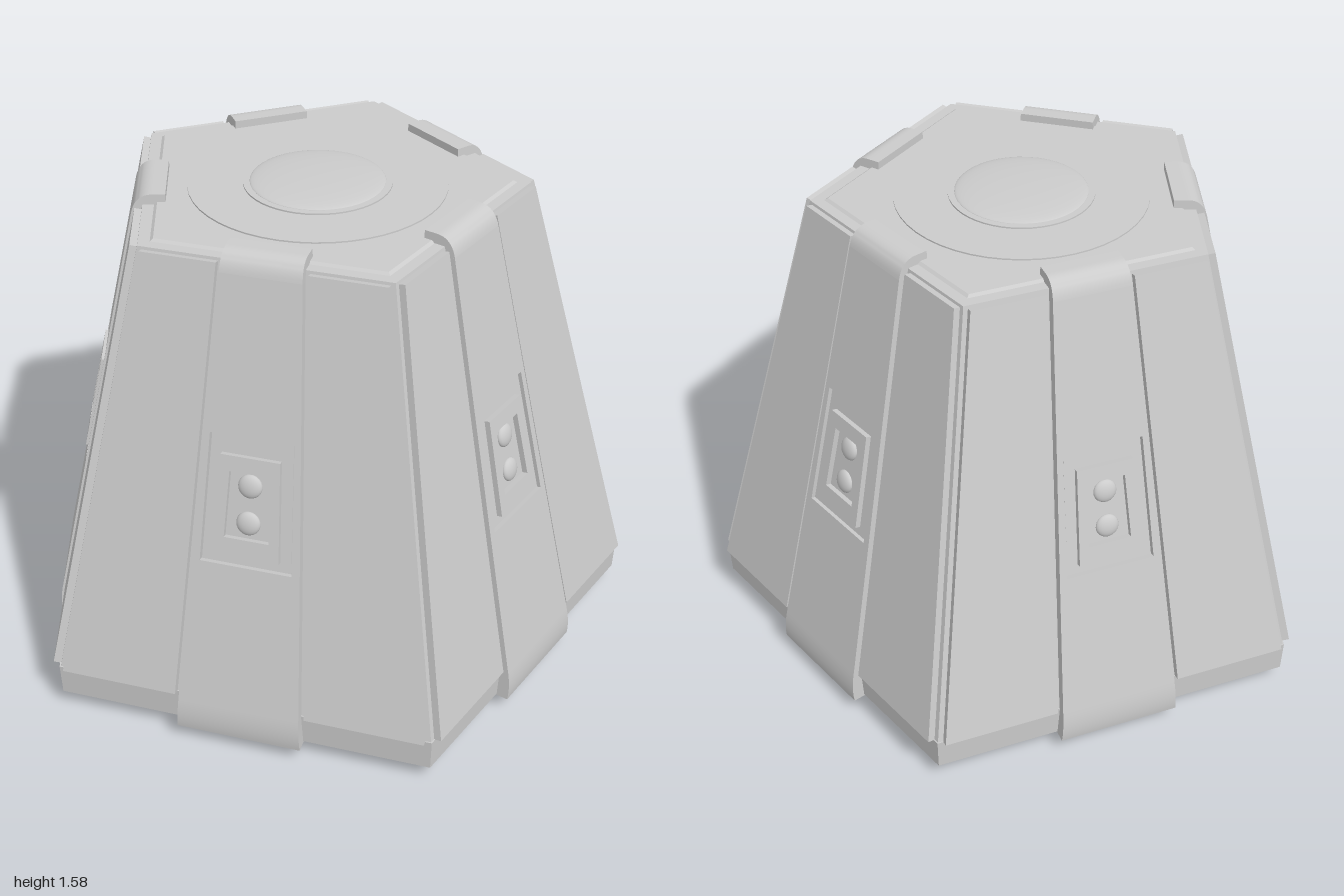
import * as THREE from 'three';
import { toCreasedNormals } from 'three/addons/utils/BufferGeometryUtils.js';

const SIDES = 5, STEP = Math.PI / SIDES;
const TILT = Math.atan2(0.306, 1.39);
const BASE_Y = 0.16, BASE_A = 0.84;          // foot of each sloping face: height, distance from axis
const flat = new THREE.MeshStandardMaterial({ color: 0xcccccc, flatShading: true });
const smooth = new THREE.MeshStandardMaterial({ color: 0xcccccc });

function add(parent, name, geometry, material = smooth) {
  const mesh = new THREE.Mesh(geometry, material);
  mesh.name = name;
  parent.add(mesh);
  return mesh;
}

// Five-sided prism or frustum with a flat side towards +z
function pentagon(parent, name, rTop, rBottom, y0, y1) {
  const g = new THREE.CylinderGeometry(rTop, rBottom, y1 - y0, SIDES);
  g.rotateY(STEP).translate(0, (y0 + y1) / 2, 0);
  return add(parent, name, g, flat);
}

function disc(parent, name, r, y0, y1) {
  const g = new THREE.CylinderGeometry(r, r, y1 - y0, 48).translate(0, (y0 + y1) / 2, 0);
  return add(parent, name, g);
}

const points = list => list.map(([x, y]) => new THREE.Vector2(x, y));
// Symmetric trapezoid: lower and upper edge height, then half widths
const trapezoid = (y0, y1, w0, w1) => points([[-w0, y0], [w0, y0], [w1, y1], [-w1, y1]]);

// Flat plate on a sloping face, from depth z0 to z1, with an optional hole
function plate(parent, name, outline, z0, z1, hole) {
  const shape = new THREE.Shape(outline);
  if (hole) shape.holes.push(new THREE.Path(hole));
  const g = new THREE.ExtrudeGeometry(shape, { depth: z1 - z0, bevelEnabled: false });
  return add(parent, name, g.translate(0, 0, z0));
}

// Face position (distance up slope, height off face) to (distance from axis, y)
const onFace = (s, z) => [
  BASE_A - s * Math.sin(TILT) + z * Math.cos(TILT),
  BASE_Y + s * Math.cos(TILT) + z * Math.sin(TILT)
];
const strapHalf = y => 0.195 - 0.07 * (y - BASE_Y) / 1.36;

// Bent strap end: side profile extruded across, tapered with height
function strapEnd(parent, name, shape) {
  const g = new THREE.ExtrudeGeometry(shape, { depth: 1, bevelEnabled: false, curveSegments: 10 });
  g.translate(0, 0, -0.5).rotateY(-Math.PI / 2);
  const p = g.attributes.position;
  for (let i = 0; i < p.count; i++) p.setX(i, p.getX(i) * 2 * strapHalf(p.getY(i)));
  add(parent, name, toCreasedNormals(g, 0.5));
}

// Horizontal slab from a plan outline (x, z)
function slab(parent, name, shape, y0, y1) {
  const g = new THREE.ExtrudeGeometry(shape, { depth: y1 - y0, bevelEnabled: false, curveSegments: 16 });
  add(parent, name, toCreasedNormals(g.rotateX(Math.PI / 2).translate(0, y1, 0), 0.5));
}

function pentagonPoints(r) {
  return Array.from({ length: SIDES }, (_, i) => {
    const a = STEP + i * 2 * STEP;
    return new THREE.Vector2(r * Math.sin(a), r * Math.cos(a));
  });
}

// Underside segment between two radial grooves and the central round recess
function undersideWedge(parent) {
  const gap = 0.018, ring = 0.41, edge = 0.574;
  const r = (edge - gap * Math.sin(STEP)) / Math.cos(STEP);
  const x = r * Math.sin(STEP) - gap * Math.cos(STEP);
  const half = STEP - Math.asin(gap / ring);
  const shape = new THREE.Shape();
  shape.moveTo(-x, edge);
  shape.lineTo(x, edge);
  shape.lineTo(ring * Math.sin(half), ring * Math.cos(half));
  shape.absarc(0, 0, ring, Math.PI / 2 - half, Math.PI / 2 + half, false);
  shape.closePath();
  slab(parent, 'undersideSegment', shape, 0, 0.04);
}

function createSide() {
  const side = new THREE.Group();
  side.name = 'side';
  const face = new THREE.Group();
  face.name = 'slopingFace';
  face.position.set(0, BASE_Y, BASE_A);
  face.rotation.x = -TILT;
  side.add(face);

  // Two cladding panels flanking the strap
  for (const m of [-1, 1]) {
    plate(face, m < 0 ? 'rightPanel' : 'leftPanel',
      points([[0.21 * m, 0], [0.588 * m, 0], [0.372 * m, 1.415], [0.137 * m, 1.415]]), -0.01, 0.018);
  }

  // Strap with a window for the control box
  plate(face, 'strap', trapezoid(0, 1.39, 0.195, 0.125), -0.01, 0.025,
    trapezoid(0.48, 0.9, 0.145, 0.13));
  const top = new THREE.Shape();
  top.moveTo(...onFace(1.39, 0.025));
  top.quadraticCurveTo(0.552, 1.582, 0.5, 1.582);
  top.lineTo(0.46, 1.582);
  top.lineTo(0.46, 1.545);
  top.lineTo(0.5, 1.545);
  top.lineTo(...onFace(1.39, -0.01));
  strapEnd(side, 'strapTop', top);
  const foot = new THREE.Shape();
  foot.moveTo(...onFace(0, -0.01));
  foot.lineTo(0.82, 0.05);
  foot.lineTo(0.872, 0.05);
  foot.quadraticCurveTo(0.88, 0.1, ...onFace(0, 0.025));
  strapEnd(side, 'strapFoot', foot);

  // Control box: tray, raised frame and two round buttons
  plate(face, 'controlTray', trapezoid(0.484, 0.896, 0.141, 0.126), -0.01, 0.015);
  plate(face, 'controlFrame', trapezoid(0.515, 0.84, 0.105, 0.092), 0.01, 0.033,
    trapezoid(0.575, 0.79, 0.07, 0.062));
  for (const s of [0.625, 0.745]) {
    const button = add(face, 'button', new THREE.SphereGeometry(0.038, 20, 12));
    button.scale.z = 0.45;
    button.position.set(0, s, 0.016);
  }

  undersideWedge(side);
  return side;
}

export function createModel() {
  const model = new THREE.Group();
  model.name = 'pentagonalPod';
  const pod = new THREE.Group();
  pod.name = 'pod';
  pod.rotation.y = 0.042;
  pod.position.set(0.008, 0, 0.07);
  model.add(pod);

  // Core
  pentagon(pod, 'body', 0.655, 1.03, 0.16, 1.55);
  pentagon(pod, 'baseBand', 1.035, 1.03, 0.055, 0.16);

  // Roof: inset plate, round steps and shallow dome
  pentagon(pod, 'roofPlate', 0.6, 0.62, 1.545, 1.557);
  disc(pod, 'roofDisc', 0.4, 1.55, 1.562);
  disc(pod, 'domeCollar', 0.23, 1.555, 1.567);
  const dome = add(pod, 'dome', new THREE.SphereGeometry(0.21, 40, 12, 0, Math.PI * 2, 0, Math.PI / 2));
  dome.scale.y = 0.08;
  dome.position.y = 1.566;

  // Underside: floor, outer frame and centre disc
  pentagon(pod, 'baseFloor', 0.93, 0.93, 0.038, 0.06);
  const frame = new THREE.Shape(pentagonPoints(0.91));
  frame.holes.push(new THREE.Path(pentagonPoints(0.82)));
  slab(pod, 'baseFrame', frame, 0.018, 0.04);
  disc(pod, 'baseDisc', 0.32, 0.02, 0.04);

  // Five identical sides
  for (let i = 0; i < SIDES; i++) {
    const side = createSide();
    side.rotation.y = i * 2 * STEP;
    pod.add(side);
  }
  return model;
}
